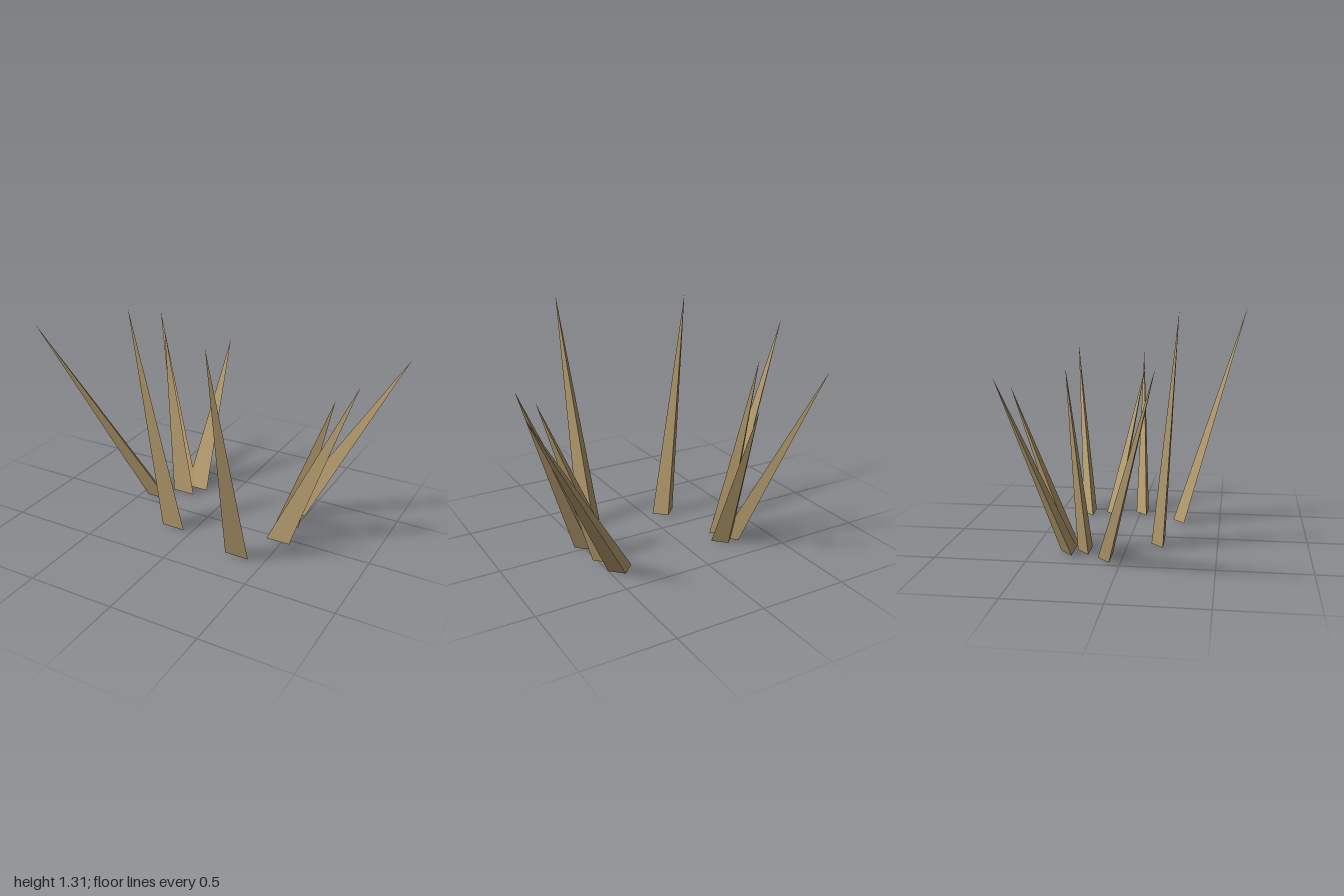
import * as THREE from 'three';

// Half width of a spike's front base edge, also the depth of its base
const R = 0.07;

// Base centre of the front edge (x, z), then tip (x, y, z)
const SPIKES = [
  [-0.39, -0.06, -1.0, 1.1, 0.235],
  [-0.305, -0.277, -0.68, 1.01, -0.597],
  [-0.28, -0.19, -0.455, 1.03, -0.279],
  [-0.12, 0.2, -0.318, 1.31, 0.287],
  [-0.235, -0.278, -0.195, 0.89, -0.641],
  [0.34, 0.287, 0.343, 1.31, 0.641],
  [0.45, -0.143, 0.747, 0.9, -0.003],
  [0.475, 0.042, 0.865, 0.99, -0.026],
  [0.43, -0.289, 0.99, 1.01, -0.488],
];

// Leaning three-sided pyramid with a flat front and a pointed back
function spikeGeometry([x, z, tx, ty, tz]) {
  const left = [x - R, 0, z];
  const right = [x + R, 0, z];
  const back = [x, 0, z - R];
  const tip = [tx, ty, tz];
  const faces = [
    left, right, tip,
    right, back, tip,
    back, left, tip,
    left, back, right,
  ];
  const geometry = new THREE.BufferGeometry();
  geometry.setAttribute('position', new THREE.Float32BufferAttribute(faces.flat(), 3));
  geometry.computeVertexNormals();
  return geometry;
}

export function createModel() {
  const group = new THREE.Group();
  group.name = 'spikeCluster';
  const dryStraw = new THREE.MeshStandardMaterial({ color: 0xb59c6e });
  dryStraw.name = 'dryStraw';

  SPIKES.forEach((spike, i) => {
    const mesh = new THREE.Mesh(spikeGeometry(spike), dryStraw);
    mesh.name = `spike${i + 1}`;
    group.add(mesh);
  });
  return group;
}
